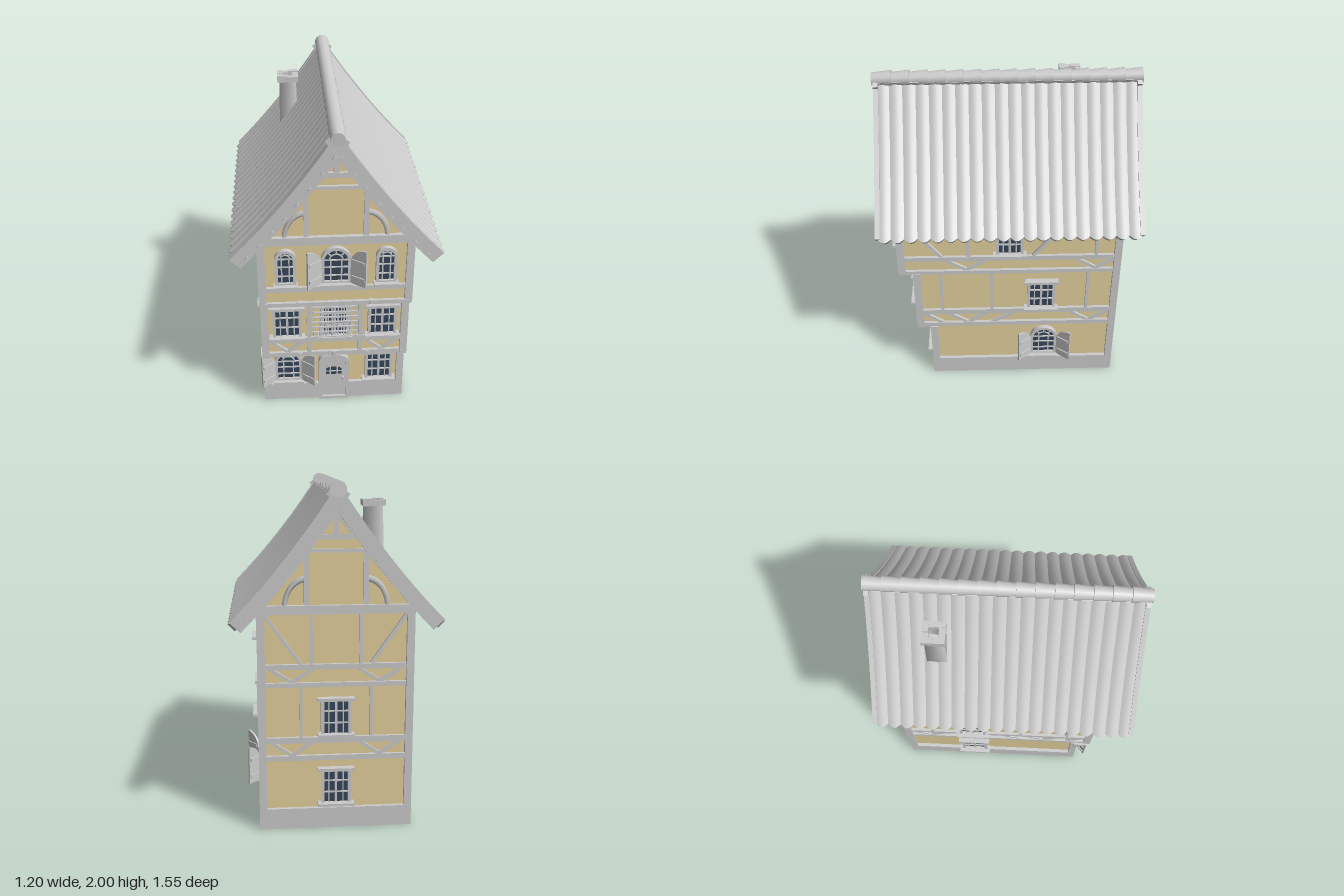
import * as THREE from 'three';
import { toCreasedNormals } from 'three/addons/utils/BufferGeometryUtils.js';

const mat = (color) => new THREE.MeshStandardMaterial({ color });
const grey = mat(0xcccccc), plaster = mat(0xe3d09c), glassMat = mat(0x36465a);
plaster.side = THREE.DoubleSide;

function add(parent, name, geo, m = grey, x = 0, y = 0, z = 0) {
  const mesh = new THREE.Mesh(geo, m);
  mesh.name = name;
  mesh.position.set(x, y, z);
  parent.add(mesh);
  return mesh;
}
const box = (g, name, x, y, z, w, h, d, m) => add(g, name, new THREE.BoxGeometry(w, h, d), m, x, y, z);
const extrude = (shape, depth) => new THREE.ExtrudeGeometry(shape, { depth, bevelEnabled: false, curveSegments: 10 });

// Timber between two points on a wall
function beam(g, x1, y1, x2, y2, w = 0.025, d = 0.03) {
  const m = box(g, 'timber', (x1 + x2) / 2, (y1 + y2) / 2, 0.002, Math.hypot(x2 - x1, y2 - y1), w, d);
  m.rotation.z = Math.atan2(y2 - y1, x2 - x1);
}
const vBrace = (g, x, y0, y1, half) => [-1, 1].forEach((s) => beam(g, x, y0, x + s * half, y1, 0.02, 0.024));

// Hollow rectangular ring around a storey
function ring(g, name, hx, zb, zf, t, y0, y1, m) {
  const rect = (C, i) => new C([[-hx + i, -zf + i], [hx - i, -zf + i], [hx - i, -zb - i], [-hx + i, -zb - i]]
    .map((p) => new THREE.Vector2(...p)));
  const s = rect(THREE.Shape, 0);
  s.holes.push(rect(THREE.Path, t));
  add(g, name, extrude(s, y1 - y0), m, 0, y0).rotation.x = -Math.PI / 2;
}

// Round-topped outline standing on y = 0
function archPath(C, w, h, y0 = 0, rise = w / 2) {
  const p = new C();
  p.moveTo(-w / 2, y0).lineTo(w / 2, y0).lineTo(w / 2, h - rise);
  p.absellipse(0, h - rise, w / 2, rise, 0, Math.PI, false);
  p.lineTo(-w / 2, y0);
  return p;
}
function archFrame(w, h, t, depth, rise = w / 2) {
  const s = archPath(THREE.Shape, w, h, 0, rise);
  s.holes.push(archPath(THREE.Path, w - 2 * t, h - t, t, rise - t));
  return extrude(s, depth);
}

function sill(g, x, y, w) {
  box(g, 'sill', x, y, 0.025, w, 0.016, 0.06);
}

function rectWindow(parent, x, y, w = 0.165, h = 0.21) {
  const g = new THREE.Group();
  g.name = 'window';
  g.position.set(x, y, 0);
  parent.add(g);
  box(g, 'glass', 0, h / 2, 0, w, h, 0.026, glassMat);
  for (const s of [-1, 1]) box(g, 'frame', s * (w / 2 - 0.005), h / 2, 0.005, 0.018, h, 0.05);
  box(g, 'lintel', 0, h, 0.01, w + 0.045, 0.018, 0.06);
  sill(g, 0, 0, w + 0.045);
  for (let i = 1; i < 4; i++) box(g, 'glazingBar', -w / 2 + w * i / 4, h / 2, 0.003, i === 2 ? 0.014 : 0.007, h, 0.04);
  for (let i = 1; i < 3; i++) box(g, 'glazingBar', 0, h * i / 3, 0.003, w, 0.007, 0.038);
}

function archWindow(parent, x, y, w, h, shutters) {
  const g = new THREE.Group();
  g.name = 'archedWindow';
  g.position.set(x, y, 0);
  parent.add(g);
  const r = w / 2, spring = h - r;
  add(g, 'glass', extrude(archPath(THREE.Shape, w - 0.01, h - 0.005), 0.026), glassMat, 0, 0, -0.013);
  add(g, 'frame', archFrame(w, h, 0.018, 0.05), grey, 0, 0, -0.022);
  sill(g, 0, 0, w + 0.02);
  for (const s of [-1, 1]) box(g, 'glazingBar', s * r * 0.36, spring / 2, 0.003, 0.008, spring, 0.036);
  for (const f of [0.35, 0.7, 1]) box(g, 'glazingBar', 0, spring * f, 0.003, w - 0.02, 0.007, 0.034);
  add(g, 'fanArc', new THREE.TorusGeometry(r * 0.45, 0.005, 4, 12, Math.PI), grey, 0, spring, 0.018);
  for (const a of [0.25, 0.5, 0.75]) {
    const c = Math.cos(a * Math.PI), s = Math.sin(a * Math.PI);
    box(g, 'fanBar', c * r * 0.7, spring + s * r * 0.7, 0.003, r * 0.5, 0.007, 0.034).rotation.z = a * Math.PI;
  }
  if (!shutters) return;
  // Half-arch shutters swung open
  for (const s of [-1, 1]) {
    const hinge = new THREE.Group();
    hinge.name = 'shutter';
    hinge.position.set(s * r, 0.005, 0.025);
    hinge.rotation.y = s > 0 ? -0.65 : Math.PI + 0.65;
    g.add(hinge);
    const sw = 0.1, p = new THREE.Shape();
    p.moveTo(0, 0).lineTo(sw, 0).lineTo(sw, h).quadraticCurveTo(0.02, h - 0.01, 0, spring);
    add(hinge, 'leaf', extrude(p, 0.012), grey, 0, 0, -0.006);
    for (const f of [0.2, 0.65]) box(hinge, 'batten', sw / 2, h * f, 0, sw * 0.85, 0.02, 0.026);
  }
}

// Roof slope: a slab bent along a flared curve, rippled into tile columns
const slope = new THREE.QuadraticBezierCurve(new THREE.Vector2(0, 1.97), new THREE.Vector2(0.27, 1.56), new THREE.Vector2(0.58, 1.245));
function roofSlab(z0, z1, top, bottom, columns) {
  const geo = new THREE.BoxGeometry(1, 1, 1, 14, 1, columns ? columns * 6 : 1);
  const p = geo.attributes.position;
  for (let i = 0; i < p.count; i++) {
    const u = p.getX(i) + 0.5, v = p.getZ(i) + 0.5;
    const c = slope.getPoint(u), t = slope.getTangent(u);
    const wave = columns ? Math.abs(Math.sin(v * columns * Math.PI)) : 0;
    const o = p.getY(i) > 0 ? top + 0.009 * wave : bottom;
    const run = 0.022 * wave * u ** 6;
    p.setXYZ(i, c.x - t.y * o + t.x * run, c.y + t.x * o + t.y * run, z0 + (z1 - z0) * v);
  }
  return toCreasedNormals(geo, 0.5);
}

function gable(g) {
  beam(g, -0.43, 1.295, 0.43, 1.295, 0.05, 0.045);
  for (const s of [-1, 1]) {
    beam(g, s * 0.165, 1.3, s * 0.165, 1.66, 0.028);
    beam(g, s * 0.015, 1.81, s * 0.085, 1.71, 0.018);
    const arc = add(g, 'curvedBrace', new THREE.TorusGeometry(0.12, 0.014, 4, 10, Math.PI / 2), grey, s * 0.165, 1.31, 0.006);
    arc.scale.y = 1.3;
    if (s < 0) arc.rotation.y = Math.PI;
    beam(g, s * 0.41, 1.33, s * 0.17, 1.63, 0.025);
  }
  beam(g, -0.16, 1.62, 0.16, 1.62, 0.02);
  beam(g, -0.14, 1.695, 0.14, 1.695, 0.028);
  beam(g, 0, 1.7, 0, 1.92, 0.028);
}

function sideTimbers(g, s) {
  for (const z of [0.42, 0.11, -0.48]) beam(g, s * z, 0.55, s * z, 0.86, 0.018);
  for (const z of [0.25, -0.52]) beam(g, s * z, 0.98, s * z, 1.3, 0.018);
  beam(g, s * 0.62, 1.26, s * 0.41, 0.985, 0.02);
  beam(g, s * -0.37, 1.26, s * -0.14, 0.985, 0.02);
  for (const z of [0.26, -0.52]) vBrace(g, s * z, 0.88, 0.955, 0.12);
  for (const z of [0.26, -0.5]) vBrace(g, s * z, 0.44, 0.525, 0.13);
  beam(g, s * 0.11, 0.44, s * -0.04, 0.525, 0.02, 0.024);
  beam(g, s * 0.54, 0.525, s * 0.42, 0.44, 0.02, 0.024);
}

export function createModel() {
  const model = new THREE.Group();
  model.name = 'timberHouse';
  const face = (name, angle, x, z) => {
    const g = new THREE.Group();
    g.name = name;
    g.rotation.y = angle;
    g.position.set(x, 0, z);
    model.add(g);
    return g;
  };

  // Storeys, each jettied further forward: plaster, corner posts, rails
  const storeys = [[0, 0.41, 0.48, []], [0.41, 0.86, 0.565, [[0.415, 0.445], [0.52, 0.555]]],
    [0.86, 1.3, 0.65, [[0.852, 0.878], [0.955, 0.985]]]];
  storeys.forEach(([y0, y1, zf, rails], i) => {
    if (i === 0) ring(model, 'groundWalls', 0.42, -0.65, zf, 0.02, y0, y1, plaster);
    else box(model, 'storeyWalls', 0, (y0 + y1) / 2, (zf - 0.65) / 2, 0.84, y1 - y0, zf + 0.65, plaster);
    for (const x of [-0.42, 0.42]) for (const z of [zf, -0.65])
      box(model, 'cornerPost', x, (y0 + y1) / 2, z, 0.044, y1 - y0, 0.044);
    for (const [a, b] of rails) ring(model, 'rail', 0.438, -0.668, zf + 0.018, 0.03, a, b);
  });
  ring(model, 'plinth', 0.442, -0.672, 0.502, 0.022, 0, 0.122);

  // Attic gable block
  const attic = new THREE.Shape([[-0.42, 1.25], [0.42, 1.25], [0.42, 1.37], [0.28, 1.53], [0.14, 1.72], [0, 1.93],
    [-0.14, 1.72], [-0.28, 1.53], [-0.42, 1.37]].map((p) => new THREE.Vector2(...p)));
  add(model, 'atticWalls', extrude(attic, 1.3), plaster, 0, 0, -0.65);

  // Front, ground floor: door and windows
  const f1 = face('frontGround', 0, 0, 0.48);
  archWindow(f1, -0.285, 0.155, 0.17, 0.235, true);
  rectWindow(f1, 0.285, 0.15);
  add(f1, 'doorFrame', archFrame(0.19, 0.36, 0.02, 0.06, 0.06), grey, 0, 0, -0.022);
  add(f1, 'doorLeaf', extrude(archPath(THREE.Shape, 0.165, 0.345, 0, 0.05), 0.046), grey, 0, 0, -0.022);
  add(f1, 'doorGlass', extrude(archPath(THREE.Shape, 0.1, 0.06, 0, 0.025), 0.004), glassMat, 0, 0.195, 0.022);
  for (const x of [-0.022, 0.022]) box(f1, 'doorBar', x, 0.225, 0.025, 0.007, 0.06, 0.008);
  box(f1, 'doorBar', 0, 0.222, 0.025, 0.1, 0.007, 0.008);
  box(f1, 'doorHandle', 0.06, 0.16, 0.03, 0.012, 0.03, 0.018);

  // Front, first floor: two windows and a latticed bay
  const f2 = face('frontMiddle', 0, 0, 0.565);
  for (const s of [-1, 1]) {
    rectWindow(f2, s * 0.285, 0.57);
    vBrace(f2, s * 0.285, 0.445, 0.525, 0.1);
    beam(f2, s * 0.155, 0.43, s * 0.155, 0.86, 0.025);
  }
  rectWindow(f2, 0, 0.57, 0.16, 0.24);
  for (let i = 0; i < 8; i++) box(f2, 'lattice', -0.126 + i * 0.036, 0.703, 0.035, 0.009, 0.29, 0.01);
  for (let i = 0; i < 8; i++) box(f2, 'lattice', 0, 0.58 + i * 0.036, 0.042, 0.27, 0.009, 0.01);

  // Front, second floor: arched windows and gable
  const f3 = face('frontUpper', 0, 0, 0.65);
  for (const s of [-1, 1]) archWindow(f3, s * 0.285, 1.005, 0.12, 0.235, false);
  archWindow(f3, 0, 1.01, 0.17, 0.24, true);
  gable(f3);

  // Corbels and joist ends under the jetties
  const corbel = new THREE.Shape();
  corbel.moveTo(0, 0).lineTo(0.085, 0).lineTo(0.085, -0.02).quadraticCurveTo(0.02, -0.025, 0, -0.09);
  for (const [y, z] of [[0.418, 0.48], [0.858, 0.565]]) for (const x of [-0.41, -0.205, 0, 0.205, 0.41]) {
    if (Math.abs(x) > 0.3 || y < 0.5 && x !== 0)
      add(model, 'corbel', extrude(corbel, 0.028), grey, x - 0.014, y, z).rotation.y = -Math.PI / 2;
    box(model, 'joistEnd', x, y + 0.012, z + 0.08, 0.024, 0.024, 0.06);
  }

  // Sides
  const right = face('rightSide', Math.PI / 2, 0.42, 0), left = face('leftSide', -Math.PI / 2, -0.42, 0);
  sideTimbers(right, -1);
  sideTimbers(left, 1);
  archWindow(right, 0.22, 0.155, 0.17, 0.235, true);
  rectWindow(right, 0.195, 0.57);
  rectWindow(right, 0, 1.005, 0.155, 0.22);
  rectWindow(left, -0.21, 0.15);
  rectWindow(left, -0.21, 0.57);

  // Back
  const back = face('backSide', Math.PI, 0, -0.65);
  rectWindow(back, 0, 0.15);
  rectWindow(back, 0, 0.57);
  for (const s of [-1, 1]) {
    beam(back, s * 0.2, 0.55, s * 0.2, 0.86, 0.018);
    beam(back, s * 0.14, 0.98, s * 0.14, 1.28, 0.018);
    beam(back, s * 0.4, 1.27, s * 0.2, 0.985, 0.02);
    vBrace(back, s * 0.25, 0.445, 0.525, 0.12);
    vBrace(back, s * 0.25, 0.88, 0.955, 0.12);
  }
  gable(back);

  // Roof slopes with verge boards and pegs
  for (const turn of [0, Math.PI]) {
    const g = face('roofSlope', turn, 0, 0);
    add(g, 'tiles', roofSlab(-0.75, 0.75, -0.004, -0.05, 20));
    for (const s of [-1, 1]) {
      add(g, 'vergeBoard', roofSlab(s * 0.75 - 0.014, s * 0.75 + 0.014, 0.008, -0.075, 0));
      for (let i = 0; i < 8; i++) {
        const c = slope.getPoint(0.12 + i * 0.115), t = slope.getTangent(0.12 + i * 0.115);
        box(g, 'peg', c.x + t.y * 0.055, c.y - t.x * 0.055, s * 0.766, 0.03, 0.012, 0.012).rotation.z = Math.atan2(t.y, t.x);
      }
    }
  }

  // Overlapping ridge tiles
  for (let i = 0; i < 15; i++) {
    const tile = add(model, 'ridgeTile', new THREE.CylinderGeometry(0.038, 0.045, 0.115, 14), grey, 0, 1.95, 0.715 - i * 0.102);
    tile.rotation.x = Math.PI / 2 + 0.06;
  }

  // Chimney with a ring of cap stones
  const stack = add(model, 'chimneyStack', new THREE.CylinderGeometry(0.071, 0.085, 0.42, 4, 1, true).rotateY(Math.PI / 4), grey, -0.235, 1.65, -0.38);
  stack.material = mat(0xcccccc);
  stack.material.side = THREE.DoubleSide;
  for (let k = 0; k < 4; k++) {
    const g = face('chimneyCap', k * Math.PI / 2, -0.235, -0.38);
    box(g, 'capStone', -0.033, 1.862, 0.047, 0.064, 0.04 - k % 2 * 0.006, 0.034);
    box(g, 'capStone', 0.016, 1.858, 0.046, 0.032, 0.034, 0.036);
  }
  return model;
}
